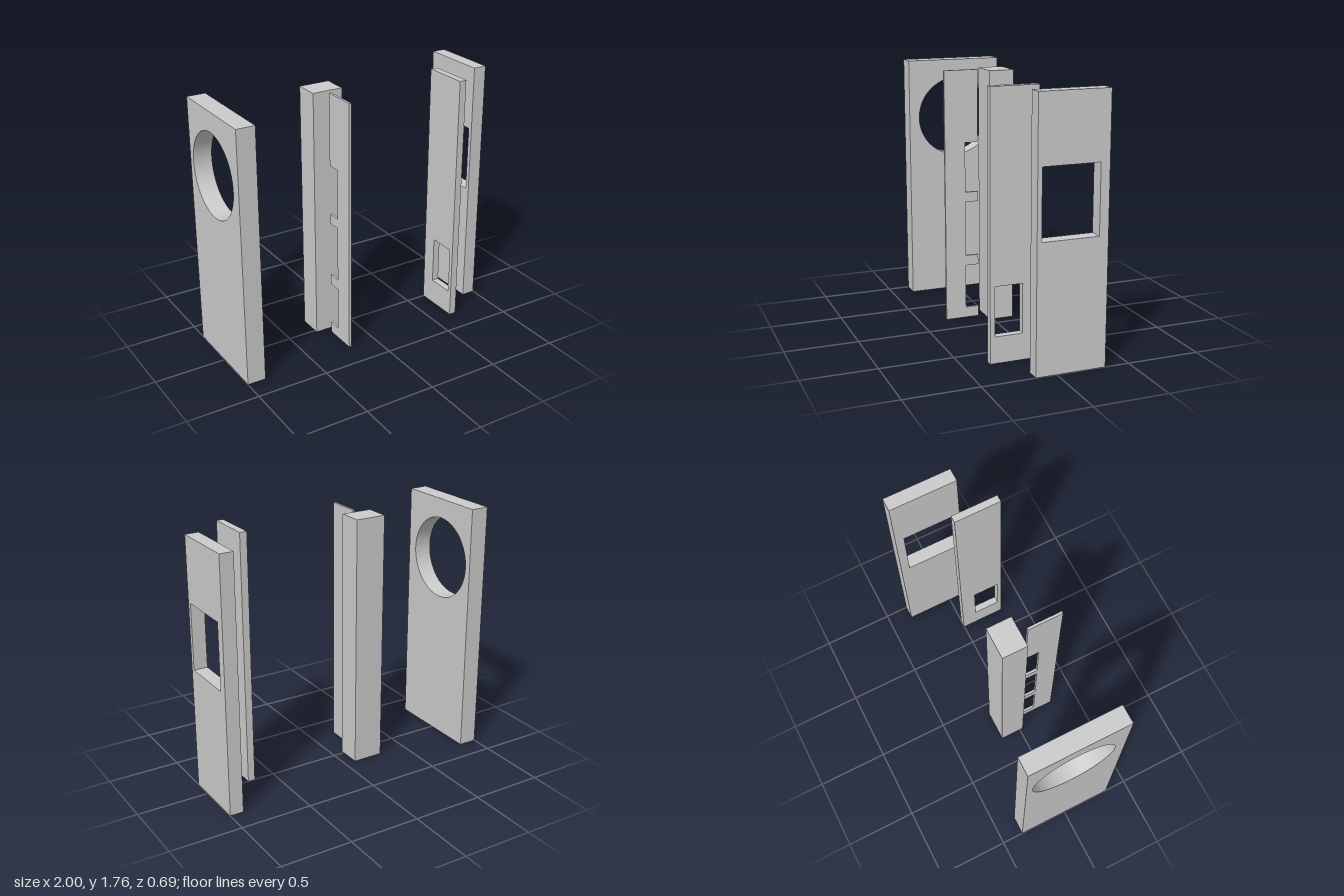
import * as THREE from 'three';

const H = 1.765;
const material = new THREE.MeshStandardMaterial({ color: 0xcccccc });

// Closed loop from [z, y] corners
const loop = (pts, Type = THREE.Shape) =>
  new Type(pts.map(([z, y]) => new THREE.Vector2(-z, y)));

const rect = (z0, z1, y0, y1) => [[z1, y0], [z0, y0], [z0, y1], [z1, y1]];

// Upright slab: an outline in the z-y plane, extruded from x0 to x1
function slab(name, x0, x1, outline, holes = []) {
  const shape = loop(outline);
  shape.holes.push(...holes);
  const geometry = new THREE.ExtrudeGeometry(shape, {
    depth: x1 - x0, bevelEnabled: false, curveSegments: 64,
  });
  geometry.rotateY(Math.PI / 2); // shape x becomes -z, depth becomes +x
  geometry.translate(x0, 0, 0);
  const mesh = new THREE.Mesh(geometry, material);
  mesh.name = name;
  return mesh;
}

export function createModel() {
  const group = new THREE.Group();
  group.name = 'uprightPanels';

  // Wide panel with a round opening
  const round = new THREE.Path();
  round.absarc(0.015, 1.342, 0.288, 0, Math.PI * 2, true);
  group.add(slab('roundHolePanel', -1, -0.872, rect(-0.347, 0.347, 0, H), [round]));

  // Solid post
  group.add(slab('post', -0.295, -0.08, rect(-0.15, 0.023, 0, H)));

  // Thin strip with notches cut into its back edge
  const back = 0.07, notch = 0.163;
  const outline = [[0.31, 0], [back, 0]];
  for (const [y0, y1] of [[0.075, 0.385], [0.457, 0.845], [0.915, 1.265]]) {
    outline.push([back, y0], [notch, y0], [notch, y1], [back, y1]);
  }
  outline.push([back, H], [0.31, H]);
  group.add(slab('notchedStrip', -0.204, -0.187, outline));

  // Narrow panel with a low window
  group.add(slab('lowWindowPanel', 0.645, 0.695, rect(-0.003, 0.323, 0, H),
    [loop(rect(0.103, 0.292, 0.18, 0.512), THREE.Path)]));

  // Thick panel with a high window
  group.add(slab('highWindowPanel', 0.905, 1, rect(-0.334, 0.142, 0, H),
    [loop(rect(-0.272, 0.112, 0.86, 1.32), THREE.Path)]));

  return group;
}
